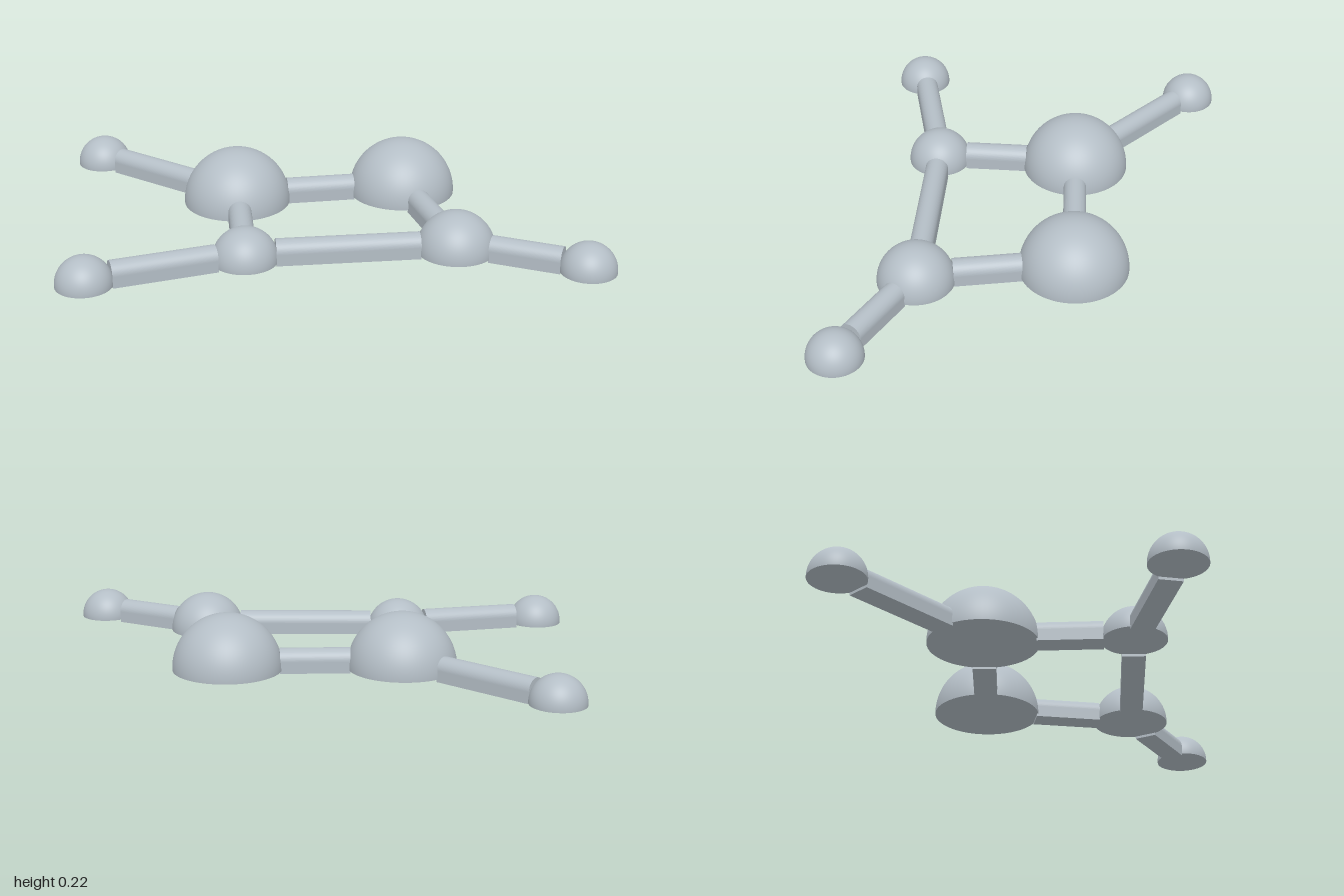
import * as THREE from 'three';

const BASE = 0.01;       // height of the flat underside of the balls
const CENTRE = 0.016;    // height of the ball centres
const ROD = 0.044;       // half width of a rod

// [x, z, radius]
const BALLS = {
  backRightSmall: [-0.896, -0.57, 0.104],
  backRightLarge: [-0.35, -0.143, 0.206],
  backLeftLarge: [0.303, -0.205, 0.206],
  frontRightJoint: [-0.328, 0.405, 0.121],
  frontLeftJoint: [0.446, 0.364, 0.145],
  frontRightSmall: [-0.896, 0.568, 0.104],
  frontLeftSmall: [0.896, 0.568, 0.104],
};

const RODS = [
  ['backRightSmall', 'backRightLarge'],
  ['backRightLarge', 'backLeftLarge'],
  ['backRightLarge', 'frontRightJoint'],
  ['backLeftLarge', 'frontLeftJoint'],
  ['frontRightJoint', 'frontLeftJoint'],
  ['frontRightJoint', 'frontRightSmall'],
  ['frontLeftJoint', 'frontLeftSmall'],
];

// Half ball with a flat underside
function makeBall(name, [x, z, r], material) {
  const group = new THREE.Group();
  group.name = name + 'Ball';
  const drop = CENTRE - BASE;
  const dome = new THREE.Mesh(
    new THREE.SphereGeometry(r, 64, 32, 0, Math.PI * 2, 0, Math.PI / 2 + Math.asin(drop / r)), material);
  dome.name = 'dome';
  const disc = new THREE.Mesh(new THREE.CircleGeometry(Math.sqrt(r * r - drop * drop), 64), material);
  disc.name = 'underside';
  disc.rotation.x = Math.PI / 2;
  disc.position.y = -drop;
  group.add(dome, disc);
  group.position.set(x, CENTRE, z);
  return group;
}

// Arch-section rod, its ends just inside the two balls
function makeRod(from, to, material) {
  const [ax, az, ar] = BALLS[from];
  const [bx, bz, br] = BALLS[to];
  const dx = bx - ax, dz = bz - az;
  const span = Math.hypot(dx, dz);
  const start = ar - 0.01;
  const arch = new THREE.Shape();
  arch.moveTo(-ROD, 0);
  arch.lineTo(ROD, 0);
  arch.lineTo(ROD, ROD);
  arch.absarc(0, ROD, ROD, 0, Math.PI, false);
  arch.closePath();
  const rod = new THREE.Mesh(new THREE.ExtrudeGeometry(arch, {
    depth: span - start - br + 0.01, bevelEnabled: false, curveSegments: 24,
  }), material);
  rod.name = from + 'To' + to[0].toUpperCase() + to.slice(1) + 'Rod';
  rod.position.set(ax + dx / span * start, 0, az + dz / span * start);
  rod.rotation.y = Math.atan2(dx, dz);
  return rod;
}

export function createModel() {
  const model = new THREE.Group();
  model.name = 'ballAndRodPlaque';
  const grey = new THREE.MeshStandardMaterial({ color: 0xb4bec6 });
  grey.name = 'paleBlueGrey';
  for (const [name, ball] of Object.entries(BALLS)) model.add(makeBall(name, ball, grey));
  for (const [from, to] of RODS) model.add(makeRod(from, to, grey));
  return model;
}
